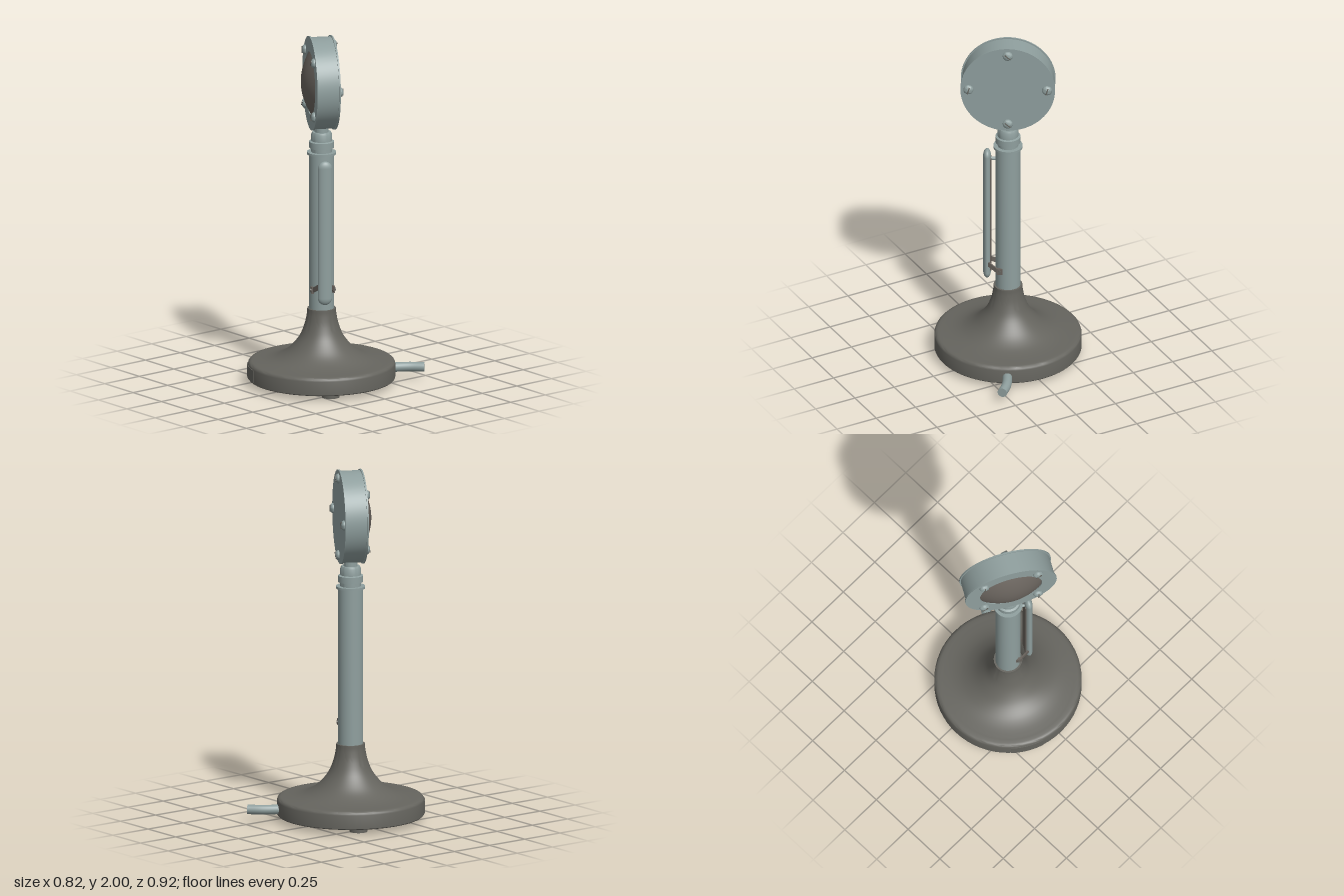
import * as THREE from 'three';
import { toCreasedNormals } from 'three/addons/utils/BufferGeometryUtils.js';

const metal = new THREE.MeshStandardMaterial({ color: 0x8f9f9e, name: 'pale grey metal' });
const dark = new THREE.MeshStandardMaterial({ color: 0x65645e, name: 'dark grey enamel' });
const mesh3 = new THREE.MeshStandardMaterial({ color: 0x68625c, name: 'brown grey grille' });

function add(parent, name, geometry, material, x = 0, y = 0, z = 0) {
  const m = new THREE.Mesh(geometry, material);
  m.name = name;
  m.position.set(x, y, z);
  parent.add(m);
  return m;
}

// Turned solid from [radius, height] pairs, listed from bottom to top
function turned(profile, segments = 64) {
  const pts = profile.map(([r, y]) => new THREE.Vector2(r, y));
  return toCreasedNormals(new THREE.LatheGeometry(pts, segments), 0.6);
}

// Domed slotted screw facing +z
function screw(parent, name, x, y, z, turn) {
  const g = new THREE.Group();
  g.name = name;
  g.position.set(x, y, z);
  g.rotation.z = turn;
  const dome = turned([[0.028, -0.004], [0.028, 0.006], [0.023, 0.014], [0.013, 0.019], [0, 0.021]], 20);
  add(g, 'screwHead', dome.rotateX(Math.PI / 2), metal);
  add(g, 'screwSlot', new THREE.BoxGeometry(0.04, 0.006, 0.008), dark, 0, 0, 0.0175);
  parent.add(g);
}

export function createModel() {
  const model = new THREE.Group();
  model.name = 'deskMicrophone';
  const body = new THREE.Group();
  body.name = 'microphoneBody';
  body.position.z = 0.047;
  model.add(body);

  // Flared base: straight rim, soft shoulder and concave sweep into the neck
  const flare = new THREE.SplineCurve([
    [0.37, 0.133], [0.3, 0.142], [0.24, 0.162], [0.18, 0.203], [0.125, 0.27],
    [0.096, 0.34], [0.083, 0.4], [0.08, 0.435],
  ].map(([x, y]) => new THREE.Vector2(x, y))).getPoints(28).map((p) => [p.x, p.y]);
  add(body, 'base', turned([
    [0, 0.03], [0.408, 0.03], [0.412, 0.035], [0.412, 0.112], [0.409, 0.122], [0.402, 0.129], [0.39, 0.132],
    ...flare, [0, 0.435],
  ]), dark);

  // Stem with collars under the head
  add(body, 'stem', turned([[0.07, 0.42], [0.07, 1.33], [0, 1.33]], 40), metal);
  add(body, 'collar', turned([
    [0.07, 1.325], [0.082, 1.325], [0.082, 1.338], [0.058, 1.338], [0.058, 1.36],
    [0.07, 1.362], [0.07, 1.398], [0.058, 1.402], [0.058, 1.44], [0.052, 1.453],
    [0.04, 1.453], [0.04, 1.5], [0, 1.5],
  ], 40), metal);

  // Cable leaving the back of the base
  const path = new THREE.CatmullRomCurve3([
    [0.16, -0.27], [0.2, -0.36], [0.247, -0.434], [0.305, -0.493],
  ].map(([x, z]) => new THREE.Vector3(x, 0.07, z)));
  add(body, 'cable', new THREE.TubeGeometry(path, 20, 0.027, 20), metal);
  const cap = add(body, 'cableEnd', new THREE.CircleGeometry(0.027, 20), metal);
  cap.position.copy(path.getPoint(1));
  cap.lookAt(path.getPoint(1).add(path.getTangent(1)));

  // Everything below is turned 30 degrees about the stem
  const t = new THREE.Group();
  t.name = 'turnedParts';
  t.rotation.y = -Math.PI / 6;
  body.add(t);

  // Feet
  for (let i = 0; i < 4; i++) {
    const a = i * Math.PI / 2;
    add(t, 'foot', new THREE.CylinderGeometry(0.05, 0.05, 0.034, 28), dark,
      0.312 * Math.cos(a), 0.017, 0.312 * Math.sin(a));
  }

  // Curved plate on the front rim of the base
  const plate = turned([[0.41, 0.04], [0.416, 0.04], [0.416, 0.112], [0.408, 0.112]]);
  plate.dispose();
  const arc = new THREE.LatheGeometry([[0.41, 0.04], [0.416, 0.04], [0.416, 0.04], [0.416, 0.112], [0.416, 0.112], [0.409, 0.112]]
    .map(([r, y]) => new THREE.Vector2(r, y)), 12, -0.225, 0.45);
  add(t, 'basePlate', arc, dark);
  for (const s of [-1, 1]) {
    const edge = add(t, 'basePlateEdge', new THREE.BoxGeometry(0.004, 0.072, 0.01), dark,
      0.411 * Math.sin(0.225 * s), 0.076, 0.411 * Math.cos(0.225 * s));
    edge.rotation.y = 0.225 * s;
  }

  // Talk bar: flattened capsule with a dark inner strip and top pin
  const bar = new THREE.CapsuleGeometry(0.04, 0.75, 10, 28).scale(0.55, 1, 1);
  add(t, 'talkBar', bar, metal, 0.117, 0.895, 0);
  add(t, 'talkBarInnerStrip', new THREE.BoxGeometry(0.008, 0.72, 0.056), mesh3, 0.097, 0.895, 0);
  const pin = add(t, 'talkBarPin', new THREE.CylinderGeometry(0.01, 0.01, 0.06, 14), metal, 0.085, 1.25, 0);
  pin.rotation.z = Math.PI / 2;

  // Fork that hinges the bar on the stem
  for (const s of [-1, 1]) {
    add(t, 'hingeLug', new THREE.BoxGeometry(0.034, 0.036, 0.014), mesh3, 0.045, 0.55, 0.06 * s);
    const arm = add(t, 'hingeArm', new THREE.BoxGeometry(0.075, 0.026, 0.008), mesh3, 0.082, 0.566, 0.047 * s);
    arm.rotation.set(0, 0.42 * s, 0.5);
    const rivet = add(t, 'hingeRivet', new THREE.CylinderGeometry(0.009, 0.009, 0.008, 14), dark, 0.045, 0.55, 0.069 * s);
    rivet.rotation.x = Math.PI / 2;
  }

  // Round head: drum with thin rims at both faces
  const head = new THREE.Group();
  head.name = 'head';
  head.position.y = 1.735;
  t.add(head);
  const drum = turned([
    [0, -0.066], [0.265, -0.066], [0.265, -0.057], [0.258, -0.057],
    [0.258, 0.057], [0.265, 0.057], [0.265, 0.066], [0.18, 0.066], [0.178, 0.055], [0, 0.055],
  ], 72);
  add(head, 'headDrum', drum.rotateX(Math.PI / 2), metal);

  // Bulging grille
  const cupola = [];
  for (let i = 0; i <= 12; i++) {
    const a = (i / 12) * Math.PI / 2;
    cupola.push([0.179 * Math.cos(a), 0.06 + 0.054 * (1 - Math.cos(a) ** 2)]);
  }
  add(head, 'grille', turned(cupola, 56).rotateX(Math.PI / 2), mesh3);

  // Screws: diagonal on the front, upright cross on the back
  const back = new THREE.Group();
  back.name = 'backScrews';
  back.rotation.y = Math.PI;
  head.add(back);
  for (let i = 0; i < 4; i++) {
    const a = i * Math.PI / 2, b = a + Math.PI / 4;
    screw(head, 'frontScrew', 0.22 * Math.cos(b), 0.22 * Math.sin(b), 0.066, i % 2 ? 1.5 : 0.7);
    screw(back, 'backScrew', 0.22 * Math.cos(a), 0.22 * Math.sin(a), 0.066, i % 2 ? -0.7 : 1.3);
  }
  return model;
}
